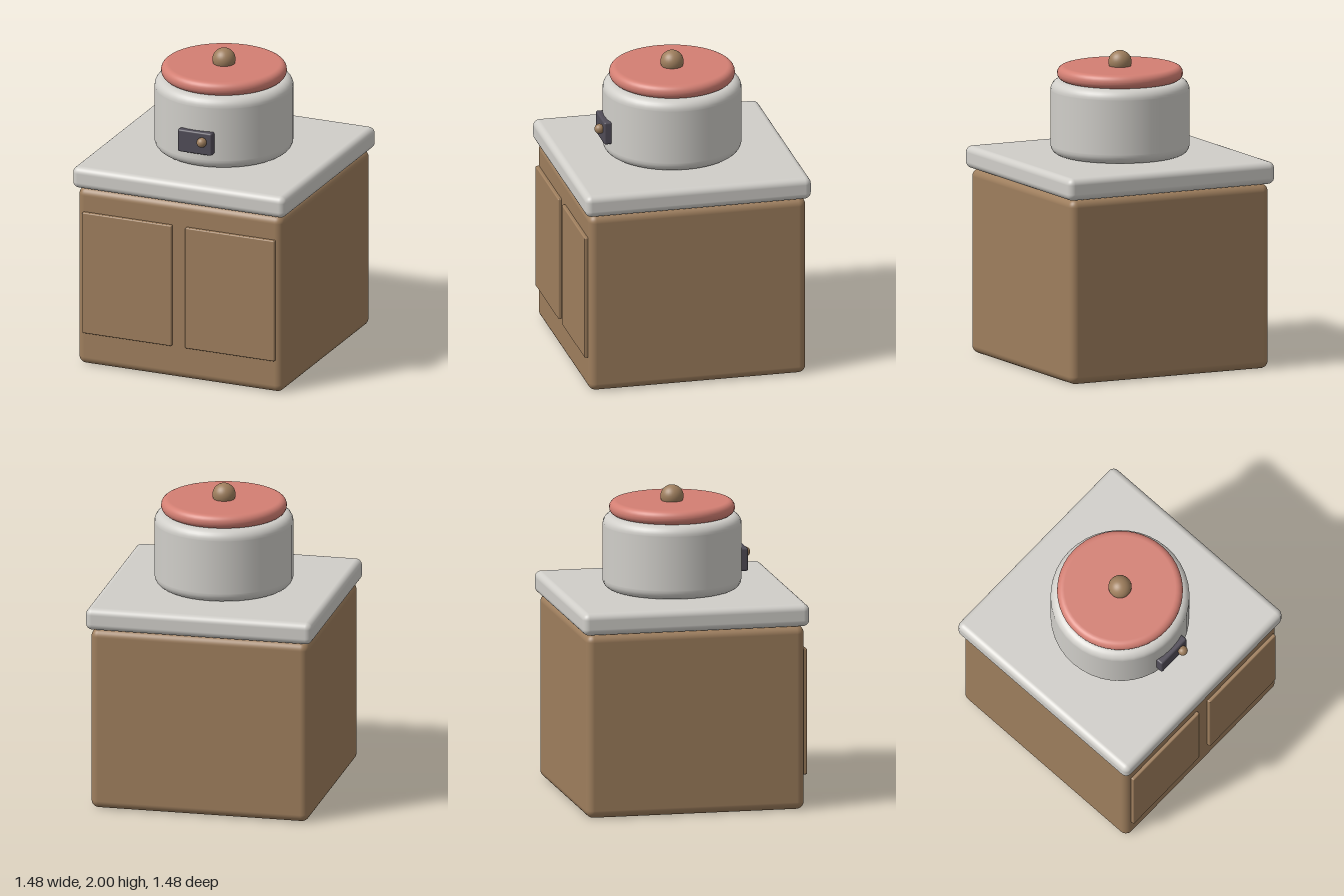
import * as THREE from 'three';
import { RoundedBoxGeometry } from 'three/addons/geometries/RoundedBoxGeometry.js';

const material = (name, color) => {
  const m = new THREE.MeshStandardMaterial({ color });
  m.name = name;
  return m;
};

export function createModel() {
  const wood = material('brown wood', 0x9e7e5d);
  const stone = material('pale grey', 0xd0cec9);
  const coral = material('coral red', 0xd37f73);
  const dark = material('dark grey', 0x504c57);
  const group = new THREE.Group();

  const add = (name, geometry, mat, x, y, z) => {
    const mesh = new THREE.Mesh(geometry, mat);
    mesh.name = name;
    mesh.position.set(x, y, z);
    group.add(mesh);
  };

  // Rounded box given by its size, centre and edge radius
  const box = (name, mat, [w, h, d], [x, y, z], r) =>
    add(name, new RoundedBoxGeometry(w, h, d, 5, r), mat, x, y, z);

  // Disc with rounded rims; guard points keep the flat faces evenly shaded
  const drum = (name, mat, radius, y0, y1, r, sides) => {
    const pts = [[0, y0], [radius - r - 0.004, y0]];
    for (const [cy, start] of [[y0 + r, -Math.PI / 2], [y1 - r, 0]]) {
      for (let i = 0; i <= 8; i++) {
        const a = start + (i / 8) * (Math.PI / 2);
        pts.push([radius - r + r * Math.cos(a), cy + r * Math.sin(a)]);
      }
      if (start < 0) pts.push([radius, cy + 0.003], [radius, y1 - r - 0.003]);
    }
    pts.push([radius - r - 0.004, y1], [0, y1]);
    const profile = pts.map(([x, y]) => new THREE.Vector2(x, y));
    add(name, new THREE.LatheGeometry(profile, sides), mat, 0, 0, 0);
  };

  // Cabinet with a pair of doors on the front
  box('cabinet', wood, [1.42, 1.19, 1.42], [0, 0.595, 0], 0.05);
  for (const side of [-1, 1]) {
    box(side < 0 ? 'rightDoor' : 'leftDoor', wood, [0.62, 0.815, 0.04], [side * 0.357, 0.627, 0.713], 0.008);
  }

  // Countertop
  box('countertop', stone, [1.476, 0.143, 1.476], [0, 1.262, 0], 0.042);

  // Cooker pot, lid and lid knob
  drum('pot', stone, 0.442, 1.335, 1.812, 0.06, 40);
  drum('lid', coral, 0.4, 1.812, 1.9, 0.042, 48);
  add('lidKnob', new THREE.SphereGeometry(0.074, 32, 20), wood, 0, 1.926, 0);

  // Control panel and its dial
  box('controlPanel', dark, [0.236, 0.15, 0.06], [0, 1.516, 0.441], 0.012);
  add('dial', new THREE.SphereGeometry(0.032, 24, 16), wood, 0.058, 1.532, 0.489);

  return group;
}
